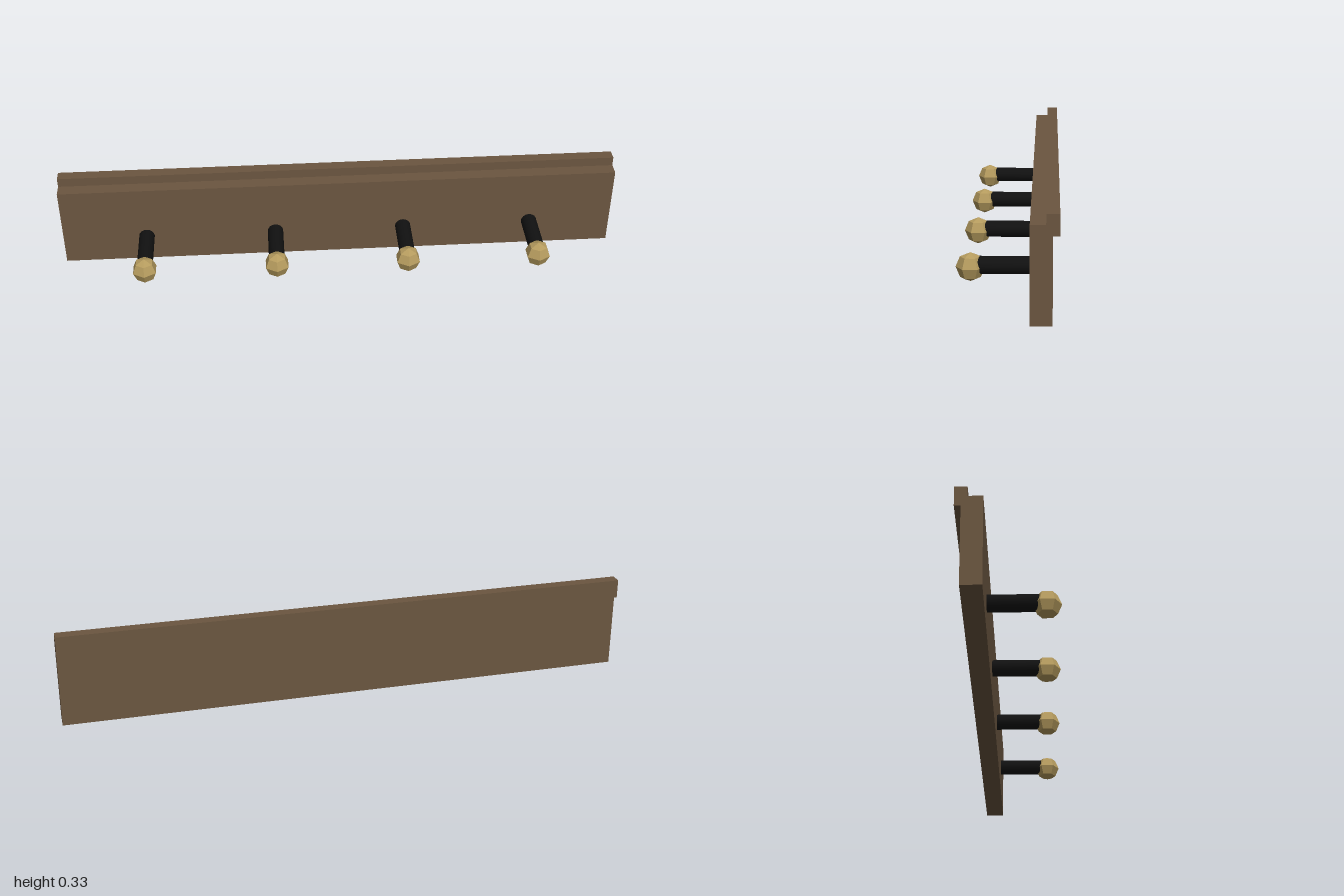
import * as THREE from 'three';

export function createModel() {
  const group = new THREE.Group();
  const material = (name, color, flatShading = false) => {
    const m = new THREE.MeshStandardMaterial({ color, flatShading });
    m.name = name;
    return m;
  };
  const wood = material('brown wood', 0x6b5640);
  const black = material('black metal', 0x111111);
  const brass = material('brass', 0xb59b5e, true);

  const add = (name, geometry, mat, x, y, z, parent = group) => {
    const mesh = new THREE.Mesh(geometry, mat);
    mesh.name = name;
    mesh.position.set(x, y, z);
    parent.add(mesh);
    return mesh;
  };

  // Backboard and the rail along its rear top edge
  add('backboard', new THREE.BoxGeometry(2, 0.3, 0.067), wood, 0, 0.15, -0.1065);
  add('topRail', new THREE.BoxGeometry(2, 0.066, 0.04), wood, 0, 0.3, -0.14);

  // Four pegs, each tipped with a faceted knob
  const pegGeometry = new THREE.CylinderGeometry(0.028, 0.028, 0.163, 16).rotateX(Math.PI / 2);
  const knobGeometry = new THREE.SphereGeometry(0.046, 6, 4).rotateY(Math.PI / 2);
  for (let i = 0; i < 4; i++) {
    const hook = new THREE.Group();
    hook.name = 'hook' + (i + 1);
    hook.position.x = -0.7 + (i * 1.4) / 3;
    add('peg', pegGeometry, black, 0, 0.1, 0.0085, hook);
    add('knob', knobGeometry, brass, 0, 0.094, 0.114, hook);
    group.add(hook);
  }
  return group;
}
